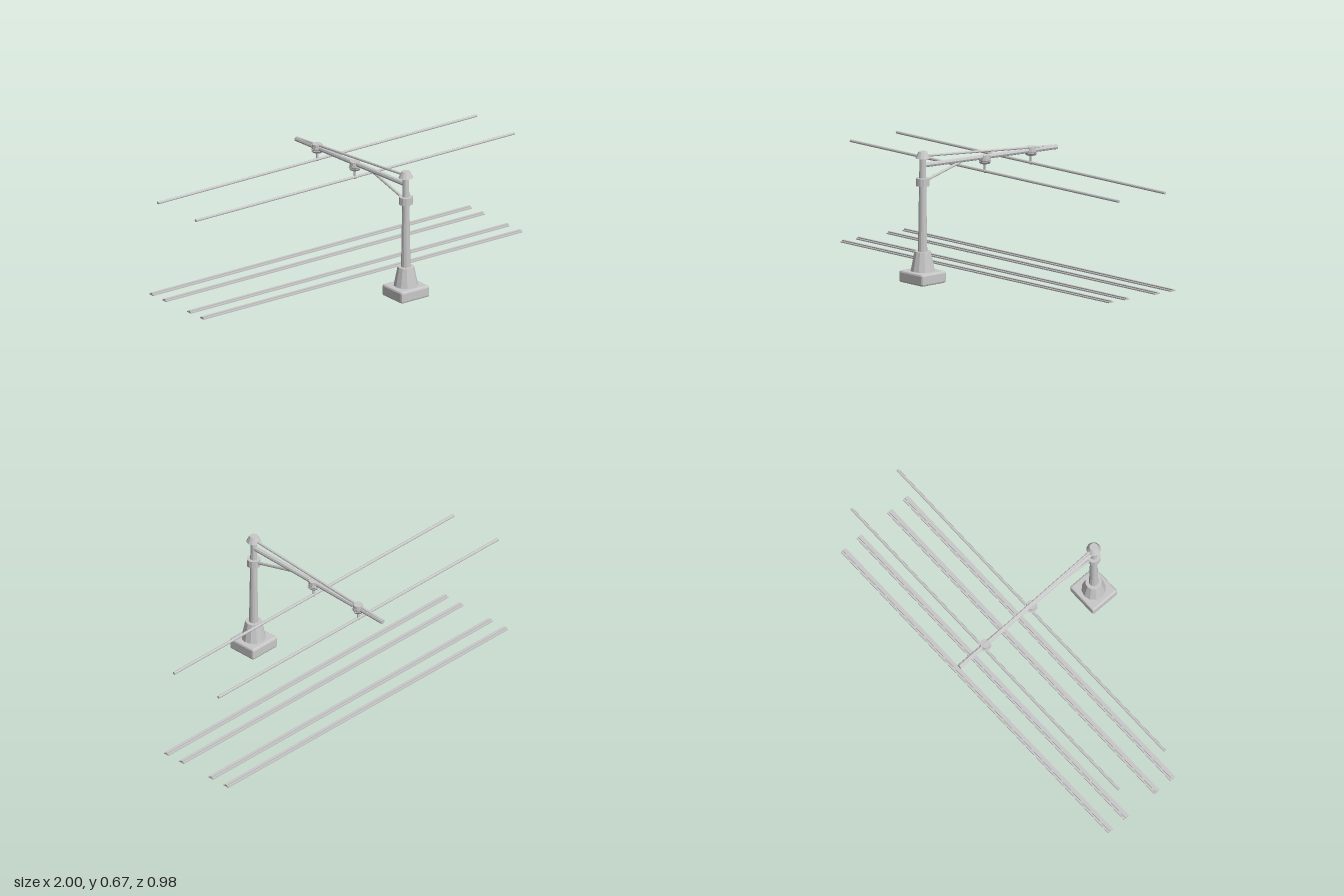
import * as THREE from 'three';
import { RoundedBoxGeometry } from 'three/addons/geometries/RoundedBoxGeometry.js';

const POLE_Z = 0.409;

export function createModel() {
  const model = new THREE.Group();
  model.name = 'overheadLineMast';
  const grey = new THREE.MeshStandardMaterial({ color: 0xc8c8c8, flatShading: true });
  grey.name = 'lightGrey';

  function add(name, geometry, x = 0, y = 0, z = 0, parent = model) {
    const mesh = new THREE.Mesh(geometry, grey);
    mesh.name = name;
    mesh.position.set(x, y, z);
    parent.add(mesh);
    return mesh;
  }

  // Upright tapered cylinder between two heights
  function taper(name, y0, y1, r0, r1, z, sides = 12, parent = model) {
    return add(name, new THREE.CylinderGeometry(r1, r0, y1 - y0, sides), 0, (y0 + y1) / 2, z, parent);
  }

  // Round bar between two points
  function bar(name, from, to, radius, sides = 8) {
    const a = new THREE.Vector3(...from), b = new THREE.Vector3(...to);
    const dir = b.clone().sub(a);
    const mesh = add(name, new THREE.CylinderGeometry(radius, radius, dir.length(), sides));
    mesh.position.copy(a).add(b).multiplyScalar(0.5);
    mesh.quaternion.setFromUnitVectors(new THREE.Vector3(0, 1, 0), dir.normalize());
    return mesh;
  }

  // Mast
  add('footing', new RoundedBoxGeometry(0.176, 0.061, 0.164, 1, 0.01), 0, 0.0305, POLE_Z);
  taper('plinth', 0.058, 0.16, 0.062, 0.042, POLE_Z);
  taper('pole', 0.155, 0.64, 0.024, 0.016, POLE_Z);
  taper('collar', 0.493, 0.532, 0.035, 0.035, POLE_Z);
  taper('cap', 0.634, 0.667, 0.037, 0.021, POLE_Z);

  // Cantilever arm with its stay and brace
  bar('arm', [0, 0.597, POLE_Z], [0, 0.566, -0.49], 0.0125);
  bar('upperStay', [0, 0.645, POLE_Z], [0, 0.573, -0.488], 0.0065);
  bar('lowerBrace', [0, 0.512, POLE_Z], [0, 0.585, 0.13], 0.0075);

  // Insulators, hangers and contact wires
  for (const z of [-0.009, -0.318]) {
    const insulator = new THREE.Group();
    insulator.name = 'insulator';
    model.add(insulator);
    taper('insulatorCap', 0.573, 0.592, 0.026, 0.025, z, 12, insulator);
    taper('upperShed', 0.567, 0.575, 0.028, 0.028, z, 12, insulator);
    taper('middleShed', 0.56, 0.567, 0.027, 0.03, z, 12, insulator);
    taper('lowerShed', 0.548, 0.56, 0.024, 0.033, z, 12, insulator);
    taper('hanger', 0.51, 0.55, 0.006, 0.006, z, 8, insulator);
    add('clamp', new THREE.SphereGeometry(0.01, 10, 8), 0, 0.509, z, insulator);
    bar('contactWire', [-1, 0.509, z], [1, 0.509, z], 0.0075);
  }

  // Two tracks of two rails
  for (const z of [0.044, -0.062, -0.266, -0.372]) {
    const rail = new THREE.Group();
    rail.name = 'rail';
    model.add(rail);
    add('railFoot', new THREE.BoxGeometry(2, 0.006, 0.033), 0, 0.003, z, rail);
    add('railHead', new THREE.BoxGeometry(2, 0.007, 0.012), 0, 0.0085, z, rail);
  }

  return model;
}
